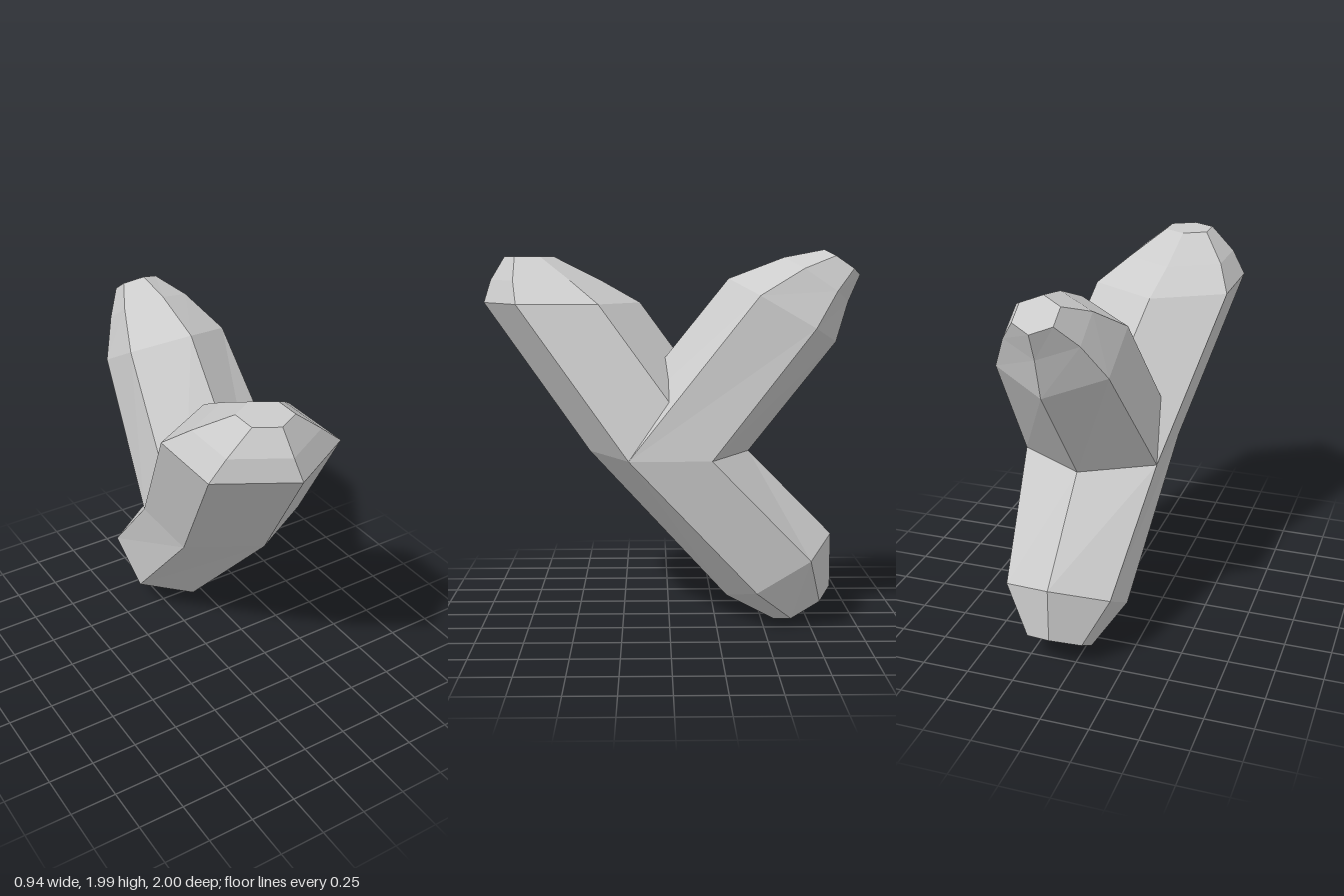
import * as THREE from 'three';

const SIDES = 6;

// Hexagonal ring: centre c, half width in x, and the (y, z) offset of its front corner
function ring([cx, cy, cz], halfWidth, [uy, uz]) {
  const w = halfWidth / Math.cos(Math.PI / 6);
  return Array.from({ length: SIDES }, (_, k) => {
    const a = (k / SIDES) * Math.PI * 2;
    const s = Math.sin(a), c = Math.cos(a);
    return [cx + w * s, cy + uy * c, cz + uz * c];
  });
}

// Skin a list of rings, ordered bottom to top, and close the chosen ends
function loft(rings, closeBottom, closeTop) {
  const n = SIDES;
  const index = [];
  for (let i = 0; i < rings.length - 1; i++) {
    for (let k = 0; k < n; k++) {
      const a = i * n + k, b = i * n + ((k + 1) % n);
      index.push(a, b, b + n, a, b + n, a + n);
    }
  }
  const top = (rings.length - 1) * n;
  for (let k = 1; k < n - 1; k++) {
    if (closeBottom) index.push(0, k + 1, k);
    if (closeTop) index.push(top, top + k, top + k + 1);
  }
  const geometry = new THREE.BufferGeometry();
  geometry.setAttribute('position', new THREE.Float32BufferAttribute(rings.flat(2), 3));
  geometry.setIndex(index);
  const flat = geometry.toNonIndexed();
  flat.computeVertexNormals();
  return flat;
}

export function createModel() {
  const group = new THREE.Group();
  const material = new THREE.MeshStandardMaterial({ color: 0xcccccc, flatShading: true });

  // Level ring where the limbs meet
  const fork = ring([0.1, 0.93, 0], 0.366, [0, 0.422]);

  // Main stem: tapered foot, bend at the fork, forward limb with a blunt tip
  const stem = new THREE.Mesh(loft([
    ring([0.1, 0.093, -0.72], 0.15, [-0.093, 0.15]),
    ring([0.1, 0.305, -0.59], 0.283, [-0.17, 0.28]),
    fork,
    ring([-0.107, 1.71, 0.577], 0.366, [0, 0.422]),
    ring([-0.14, 1.83, 0.667], 0.258, [0, 0.298]),
    ring([-0.155, 1.955, 0.755], 0.117, [0, 0.135]),
  ], true, true), material);
  stem.name = 'mainStem';
  group.add(stem);

  // Side branch leaning back from the fork
  const branch = new THREE.Mesh(loft([
    fork,
    ring([0.1, 1.675, -0.595], 0.285, [0.165, 0.285]),
    ring([0.1, 1.835, -0.77], 0.19, [0.115, 0.17]),
    ring([0.1, 1.925, -0.905], 0.1, [0.065, 0.095]),
  ], false, true), material);
  branch.name = 'backBranch';
  group.add(branch);

  return group;
}
